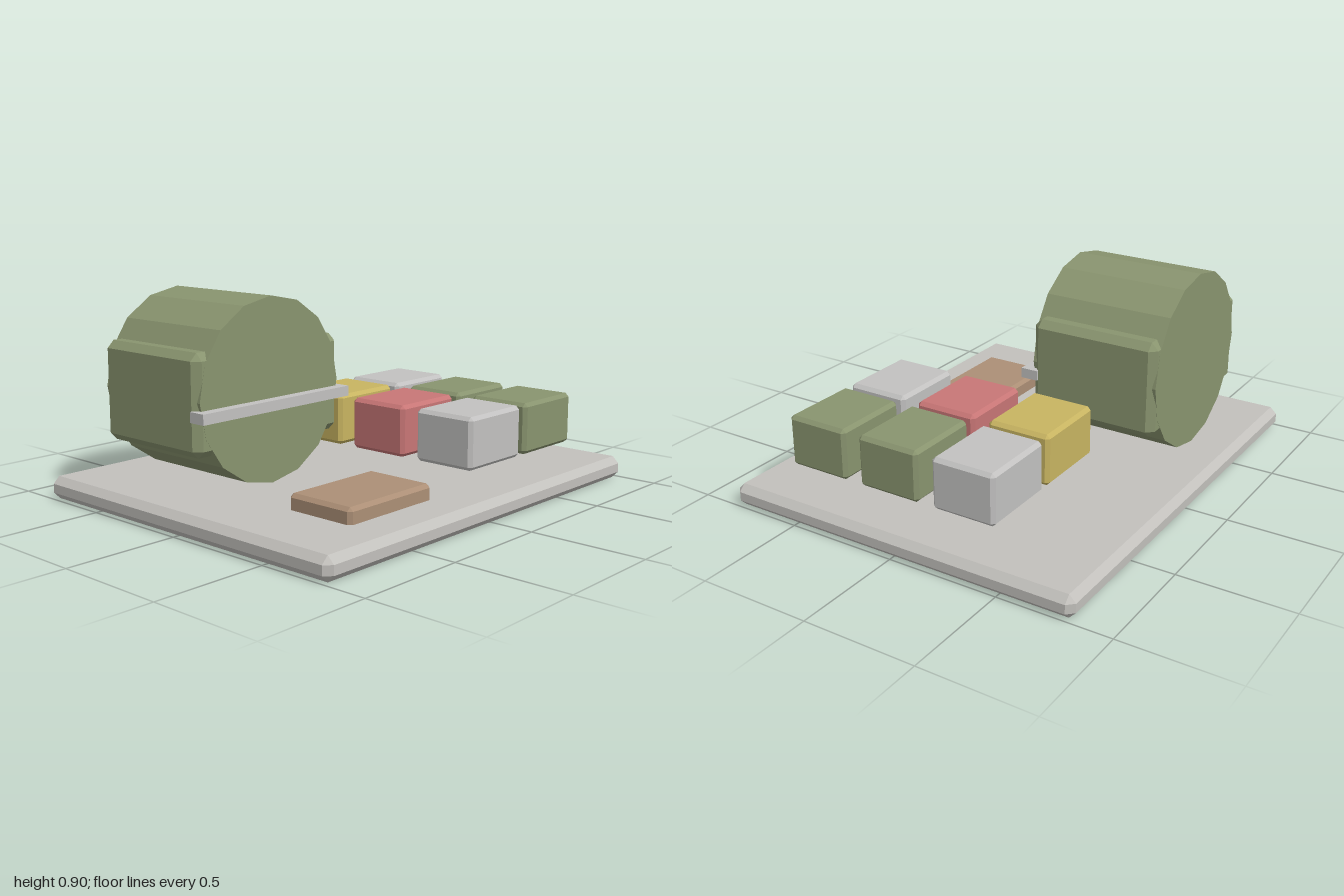
import * as THREE from 'three';
import { ConvexGeometry } from 'three/addons/geometries/ConvexGeometry.js';

const material = (name, color) => {
  const m = new THREE.MeshStandardMaterial({ color });
  m.name = name;
  return m;
};

// Box between two corners with every edge chamfered by c
function chamferBox([x0, y0, z0], [x1, y1, z1], c) {
  const half = [(x1 - x0) / 2, (y1 - y0) / 2, (z1 - z0) / 2];
  const points = [];
  for (const sx of [-1, 1]) for (const sy of [-1, 1]) for (const sz of [-1, 1]) {
    for (let axis = 0; axis < 3; axis++) {
      const [x, y, z] = half.map((h, i) => (i === axis ? h : h - c));
      points.push(new THREE.Vector3(sx * x, sy * y, sz * z));
    }
  }
  return new ConvexGeometry(points).translate((x0 + x1) / 2, (y0 + y1) / 2, (z0 + z1) / 2);
}

export function createModel() {
  const model = new THREE.Group();
  model.name = 'trayWithDrumAndBlocks';

  const stone = material('warm grey', 0xc2c0bc);
  const grey = material('light grey', 0xc2c1c0);
  const green = material('olive green', 0x89946f);
  const yellow = material('mustard yellow', 0xc8b461);
  const red = material('soft red', 0xc87676);
  const brown = material('tan brown', 0xac8f76);

  const add = (name, geometry, mat) => {
    const mesh = new THREE.Mesh(geometry, mat);
    mesh.name = name;
    model.add(mesh);
    return mesh;
  };

  // Base slab
  add('base', chamferBox([-1, 0, -0.83], [1, 0.1, 0.83], 0.03), stone);

  // Drum lying along z: vertex at the top, faceted sides
  const drumGeometry = new THREE.CylinderGeometry(0.4, 0.4, 0.6, 16).toNonIndexed();
  drumGeometry.rotateX(Math.PI / 2);
  drumGeometry.computeVertexNormals();
  add('drum', drumGeometry, green).position.set(-0.42, 0.5, -0.333);

  // Housing that shows at both sides of the drum
  add('housing', chamferBox([-0.836, 0.268, -0.632], [-0.004, 0.7, -0.034], 0.032), green);

  // Strap across the drum's front
  add('strap', new THREE.BoxGeometry(0.85, 0.045, 0.08), grey).position.set(-0.42, 0.445, -0.025);

  // Low pad in front of the drum
  add('pad', chamferBox([-0.665, 0.08, 0.303], [-0.172, 0.167, 0.631], 0.016), brown);

  // Two columns of raised blocks, back row first
  const rows = [[yellow, grey], [red, green], [grey, green]];
  rows.forEach((row, r) => row.forEach((mat, c) => {
    const x = 0.065 + 0.4 * c;
    const z = -0.382 + 0.367 * r;
    add(`block${r * 2 + c + 1}`, chamferBox([x, 0.17, z], [x + 0.364, 0.4, z + 0.296], 0.016), mat);
  }));

  return model;
}
